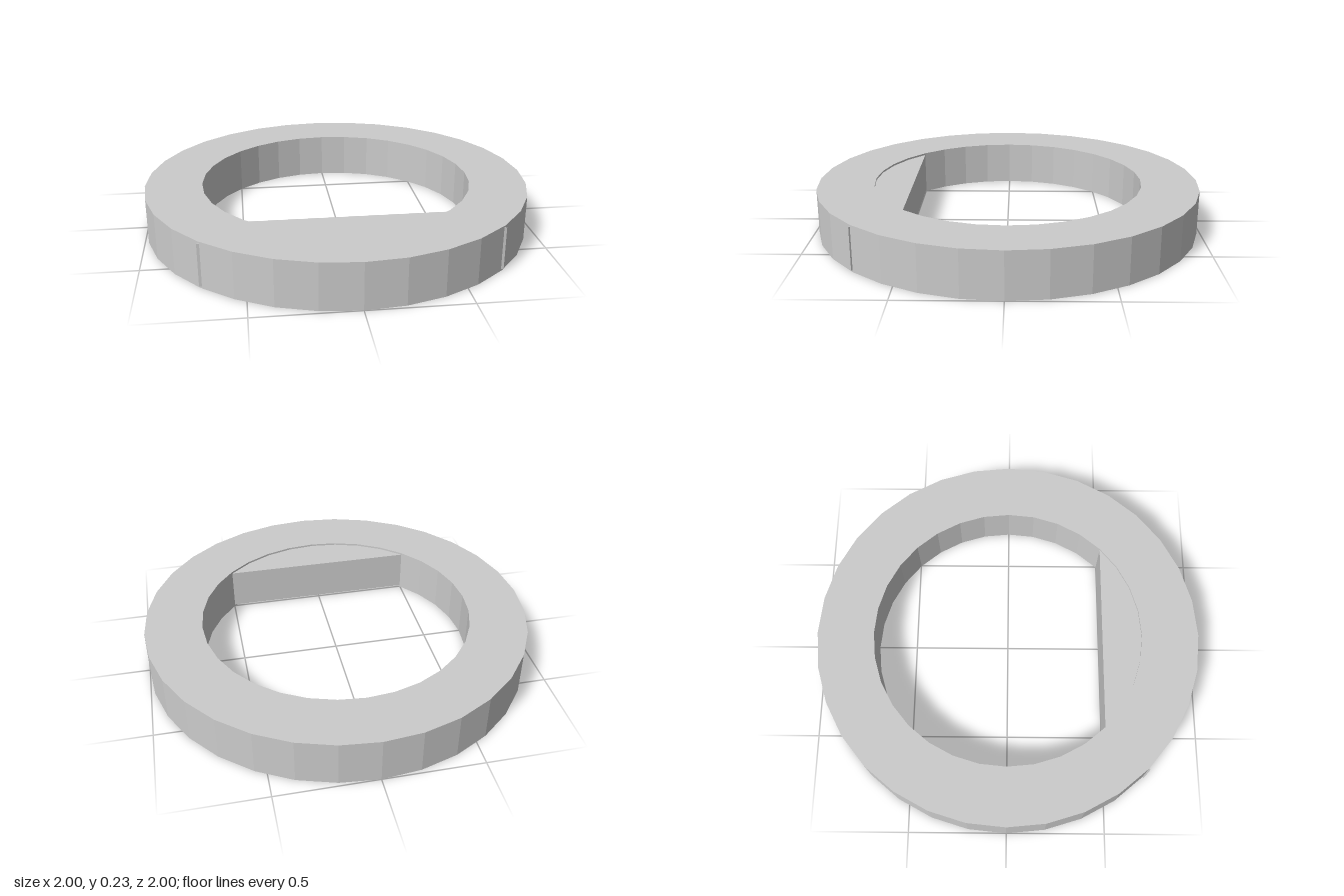
import * as THREE from 'three';

const material = new THREE.MeshStandardMaterial({ color: 0xcccccc, flatShading: true });

export function createModel() {
  const model = new THREE.Group();
  const height = 0.234, outer = 1, inner = 0.704;

  // 32-sided ring with a square section
  const section = [[outer, 0], [outer, height], [inner, height], [inner, 0], [outer, 0]]
    .map(([r, y]) => new THREE.Vector2(r, y));
  const ring = new THREE.Mesh(new THREE.LatheGeometry(section, 32), material);
  ring.name = 'ring';
  model.add(ring);

  // Wedge across the front of the opening, a little thinner than the ring;
  // its outer corners just reach through the ring wall
  const near = inner * Math.SQRT1_2, far = 0.713, gap = 0.01;
  const outline = new THREE.Shape([
    new THREE.Vector2(-near, -near),
    new THREE.Vector2(-far, -far),
    new THREE.Vector2(far, -far),
    new THREE.Vector2(near, -near),
  ]);
  const wedgeGeometry = new THREE.ExtrudeGeometry(outline, { depth: height - 2 * gap, bevelEnabled: false });
  wedgeGeometry.rotateX(-Math.PI / 2).translate(0, gap, 0);
  const wedge = new THREE.Mesh(wedgeGeometry, material);
  wedge.name = 'frontWedge';
  model.add(wedge);

  return model;
}
